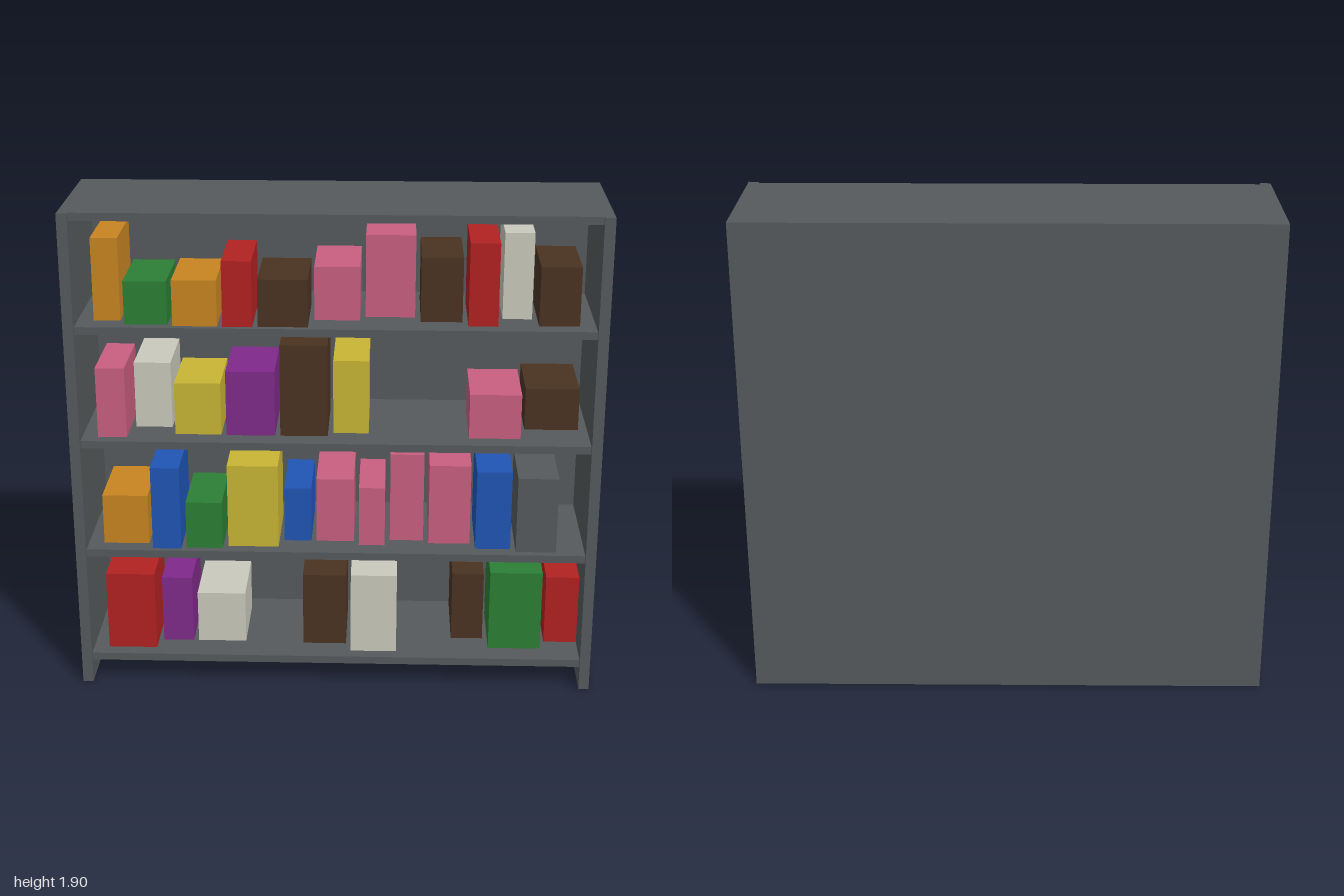
import * as THREE from 'three';

const COLORS = {
  grey: 0x565a5c, red: 0xb22222, orange: 0xc88522, green: 0x2c7f35, brown: 0x4a3322,
  pink: 0xc95f80, cream: 0xc9c9bc, purple: 0x7f2a8a, yellow: 0xc8b535, blue: 0x2055b5,
};
const BOOK_DEPTH = 0.3;
const BOOK_GAP = 0.02;
const SHELF_SPACING = 0.45;

export function createModel() {
  const model = new THREE.Group();
  model.name = 'bookcase';
  const materials = {};
  for (const [name, color] of Object.entries(COLORS)) {
    materials[name] = new THREE.MeshStandardMaterial({ color });
    materials[name].name = name;
  }

  // Box spanning the given ranges
  function box(parent, name, color, x0, x1, y0, y1, z0, z1) {
    const mesh = new THREE.Mesh(new THREE.BoxGeometry(x1 - x0, y1 - y0, z1 - z0), materials[color]);
    mesh.position.set((x0 + x1) / 2, (y0 + y1) / 2, (z0 + z1) / 2);
    mesh.name = name;
    parent.add(mesh);
  }

  // Shelf with books lined up from one end
  let shelfCount = 0;
  function shelf() {
    const y = 0.12 + SHELF_SPACING * shelfCount++;
    box(model, `shelf${shelfCount}`, 'grey', -0.96, 0.96, y - 0.03, y, -0.235, 0.26);
    const row = new THREE.Group();
    row.name = `bookRow${shelfCount}`;
    model.add(row);
    let x = -0.9;
    return {
      book(color, width, height, front) {
        const name = `${color}Book${row.children.length + 1}`;
        box(row, name, color, x, x + width, y, y + height, front - BOOK_DEPTH, front);
        x += width + BOOK_GAP;
        return this;
      },
      space(width) {
        x += width;
        return this;
      },
    };
  }

  // Case: back, sides and top
  box(model, 'backPanel', 'grey', -1, 1, 0, 1.9, -0.275, -0.235);
  box(model, 'leftSide', 'grey', 0.96, 1, 0, 1.9, -0.235, 0.275);
  box(model, 'rightSide', 'grey', -1, -0.96, 0, 1.9, -0.235, 0.275);
  box(model, 'topBoard', 'grey', -0.96, 0.96, 1.87, 1.9, -0.235, 0.26);

  // Bottom shelf
  shelf()
    .book('red', 0.19, 0.32, 0.205)
    .book('purple', 0.12, 0.275, 0.14)
    .book('cream', 0.19, 0.21, 0.14)
    .space(0.21)
    .book('brown', 0.17, 0.3, 0.15)
    .book('cream', 0.18, 0.33, 0.21)
    .space(0.2)
    .book('brown', 0.125, 0.285, 0.09)
    .book('green', 0.205, 0.33, 0.17)
    .book('red', 0.14, 0.285, 0.11);

  // Second shelf
  shelf()
    .book('orange', 0.175, 0.2, 0.195)
    .book('blue', 0.11, 0.335, 0.24)
    .book('green', 0.14, 0.19, 0.23)
    .book('yellow', 0.195, 0.335, 0.21)
    .book('blue', 0.105, 0.22, 0.15)
    .book('pink', 0.145, 0.26, 0.15)
    .book('pink', 0.1, 0.24, 0.185)
    .book('pink', 0.13, 0.36, 0.135)
    .book('pink', 0.16, 0.325, 0.16)
    .book('blue', 0.135, 0.32, 0.205)
    .book('grey', 0.155, 0.305, 0.23);

  // Third shelf
  shelf()
    .book('pink', 0.11, 0.275, 0.215)
    .book('cream', 0.14, 0.26, 0.1)
    .book('yellow', 0.175, 0.205, 0.175)
    .book('purple', 0.185, 0.255, 0.18)
    .book('brown', 0.18, 0.36, 0.18)
    .book('yellow', 0.135, 0.29, 0.145)
    .space(0.36)
    .book('pink', 0.195, 0.175, 0.185)
    .book('brown', 0.205, 0.165, 0.085);

  // Top shelf
  shelf()
    .book('orange', 0.1, 0.315, 0.175)
    .book('green', 0.16, 0.165, 0.22)
    .book('orange', 0.165, 0.175, 0.235)
    .book('red', 0.11, 0.25, 0.24)
    .book('brown', 0.185, 0.18, 0.235)
    .book('pink', 0.17, 0.205, 0.145)
    .book('pink', 0.185, 0.315, 0.1)
    .book('brown', 0.155, 0.245, 0.155)
    .book('red', 0.11, 0.315, 0.205)
    .book('cream', 0.11, 0.33, 0.11)
    .book('brown', 0.15, 0.225, 0.195);

  return model;
}
